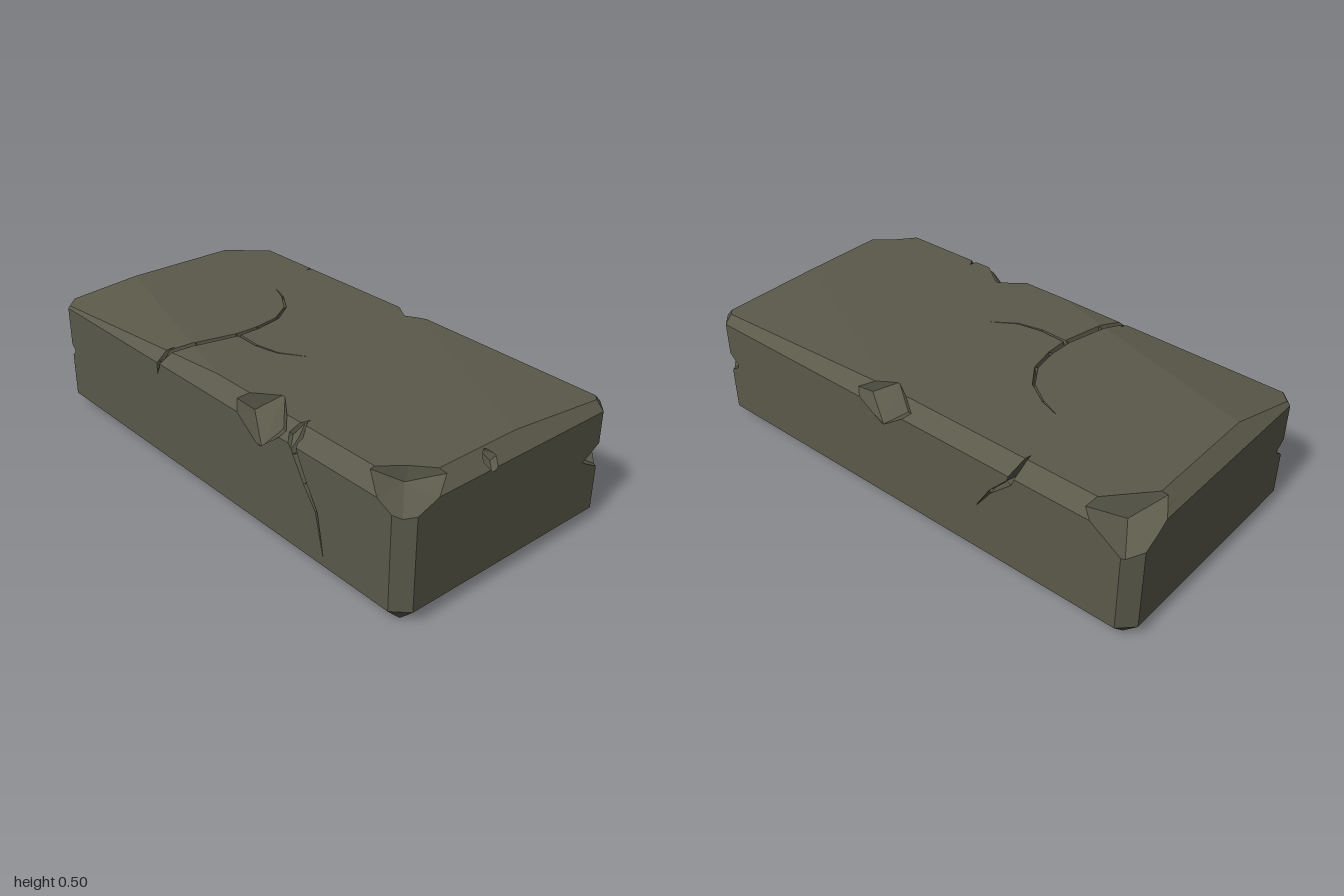
import * as THREE from 'three';

const V = (x, y, z) => new THREE.Vector3(x, y, z);
const SIGNS = [-1, 0, 1];
const EPS = 1e-5;

// Splits a convex polygon by a plane into its inner (behind) and outer (front) piece
function split(poly, plane) {
  const inner = [], outer = [];
  poly.forEach((a, i) => {
    const b = poly[(i + 1) % poly.length];
    const da = plane.distanceToPoint(a), db = plane.distanceToPoint(b);
    if (da <= EPS) inner.push(a);
    if (da >= -EPS) outer.push(a);
    if ((da > EPS && db < -EPS) || (da < -EPS && db > EPS)) {
      const m = a.clone().lerp(b, da / (da - db));
      inner.push(m);
      outer.push(m);
    }
  });
  return { inner, outer };
}

// Keeps the part of a polygon inside a convex solid
function clipInside(poly, planes) {
  for (const p of planes) {
    poly = split(poly, p).inner;
    if (poly.length < 3) return null;
  }
  return poly;
}

// Returns the pieces of a polygon outside a convex solid
function clipOutside(poly, planes) {
  const kept = [];
  let rest = poly;
  for (const p of planes) {
    if (!rest.some((v) => p.distanceToPoint(v) < -EPS)) return [poly];
    const { inner, outer } = split(rest, p);
    if (outer.length > 2 && outer.some((v) => p.distanceToPoint(v) > EPS)) kept.push(outer);
    rest = inner;
    if (rest.length < 3) return [poly];
  }
  return kept;
}

// Planes of the convex hull of a few points
function hullPlanes(pts) {
  const planes = [];
  for (let i = 0; i < pts.length; i++)
    for (let j = i + 1; j < pts.length; j++)
      for (let k = j + 1; k < pts.length; k++) {
        const n = pts[j].clone().sub(pts[i]).cross(pts[k].clone().sub(pts[i]));
        if (n.length() < 1e-8) continue;
        const plane = new THREE.Plane().setFromNormalAndCoplanarPoint(n.normalize(), pts[i]);
        const d = pts.map((p) => plane.distanceToPoint(p));
        if (Math.min(...d) > -EPS) plane.negate();
        else if (Math.max(...d) > EPS) continue;
        if (!planes.some((q) => q.normal.dot(plane.normal) > 0.99999 && Math.abs(q.constant - plane.constant) < 1e-4))
          planes.push(plane);
      }
  return planes;
}

// Face polygons of a convex solid
function faces(planes) {
  return planes.map((p) => {
    const u = Math.abs(p.normal.y) > 0.8 ? V(1, 0, 0) : V(0, 1, 0);
    u.cross(p.normal).normalize();
    const v = p.normal.clone().cross(u);
    const c = p.normal.clone().multiplyScalar(-p.constant);
    const quad = [0, 1, 2, 3].map((i) => {
      const angle = i * Math.PI / 2;
      return c.clone().addScaledVector(u, 5 * Math.cos(angle)).addScaledVector(v, 5 * Math.sin(angle));
    });
    return clipInside(quad, planes.filter((q) => q !== p));
  }).filter(Boolean);
}

// Calls back with each of the 26 face, edge and corner directions of a box
function eachDirection(visit) {
  for (const x of SIGNS) for (const y of SIGNS) for (const z of SIGNS) {
    const count = Math.abs(x) + Math.abs(y) + Math.abs(z);
    if (count) visit(V(x, y, z), count);
  }
}

// Slab with bevelled edges and corners, and two worn, sloping top corners
function slabPlanes() {
  const bevel = 0.055, planes = [];
  eachDirection((n, count) => {
    const reach = Math.abs(n.x) + Math.abs(n.y) * 0.25 + Math.abs(n.z) * 0.5 - bevel * (count - 1);
    const length = n.length();
    planes.push(new THREE.Plane(n.clone().divideScalar(length), -(reach + n.y * 0.25) / length));
  });
  const slope = (a, b, c) => {
    const p = new THREE.Plane().setFromCoplanarPoints(a, b, c);
    planes.push(p.normal.y < 0 ? p.negate() : p);
  };
  slope(V(-0.95, 0.452, 0.5), V(-0.2, 0.492, 0.44), V(-0.92, 0.5, 0.18));
  slope(V(0.95, 0.475, -0.5), V(0.2, 0.497, -0.45), V(0.83, 0.5, -0.1));
  return planes;
}

// Broken chip: an irregular faceted lump around a point on an edge or corner
function chip(centre, radii, seed) {
  let state = seed;
  const jitter = () => {
    state = (state * 16807) % 2147483647;
    return (state / 2147483647 - 0.5) * 0.2;
  };
  const pts = [];
  eachDirection((n, count) => {
    if (count === 2) return;
    n.multiplyScalar(count === 1 ? 1 : 0.48).add(V(jitter(), jitter(), jitter()));
    pts.push(n.multiply(radii).add(centre));
  });
  return hullPlanes(pts);
}

// V-shaped crack along a path, narrowing and getting shallower to its end
function crack(path, n, width) {
  const rings = path.map((p, i) => {
    const dir = path[Math.min(i + 1, path.length - 1)].clone().sub(path[Math.max(i - 1, 0)]);
    const w = width * (1 - i / (path.length - 1)) + 0.001;
    const side = n.clone().cross(dir).setLength(w);
    const rim = [p.clone().add(side), p.clone().sub(side)];
    return [...rim, ...rim.map((r) => r.clone().addScaledVector(n, 0.1)), p.clone().addScaledVector(n, -5.5 * w)];
  });
  return rings.slice(1).map((ring, i) => hullPlanes([...rings[i], ...ring]));
}
const topCrack = (path, width) => crack(path.map(([x, z]) => V(x, 0.5, z)), V(0, 1, 0), width);
const sideCrack = (path, side, width) => crack(path.map(([x, y]) => V(x, y, side * 0.5)), V(0, 0, side), width);

function toMesh(name, polys, material) {
  const points = polys.flatMap((p) => p.slice(2).flatMap((v, i) => [p[0], p[i + 1], v]));
  const geometry = new THREE.BufferGeometry().setFromPoints(points);
  geometry.computeVertexNormals();
  const mesh = new THREE.Mesh(geometry, material);
  mesh.name = name;
  return mesh;
}

export function createModel() {
  const stone = new THREE.MeshStandardMaterial({ color: 0x5a594a });
  stone.name = 'dark stone';
  const block = slabPlanes();
  const parts = { slabBody: faces(block), chippedFaces: [], crackGrooves: [] };
  const done = [];

  // Carve a convex solid out of the slab, lining it with inward faces
  const carve = (planes, part) => {
    for (const key in parts) parts[key] = parts[key].flatMap((p) => clipOutside(p, planes));
    let lining = faces(planes).map((p) => clipInside(p, block)).filter(Boolean);
    for (const old of done) lining = lining.flatMap((p) => clipOutside(p, old));
    parts[part].push(...lining.map((p) => [...p].reverse()));
    done.push(planes);
  };
  const carveChip = (centre, radii, seed) => carve(chip(centre, radii, seed), 'chippedFaces');
  const carveCrack = (pieces) => pieces.forEach((planes) => carve(planes, 'crackGrooves'));

  // Front edge chips
  carveChip(V(0.3, 0.5, 0.5), V(0.17, 0.14, 0.135), 11);
  carveChip(V(0.48, 0.5, 0.5), V(0.05, 0.08, 0.08), 222);
  // Broken top corners
  carveChip(V(1, 0.5, 0.5), V(0.23, 0.12, 0.26), 3333);
  carveChip(V(-1, 0.5, -0.5), V(0.26, 0.16, 0.25), 44444);
  // Back edge chip
  carveChip(V(0.08, 0.5, -0.5), V(0.17, 0.13, 0.1), 55555);
  // Notches in the upright edges
  carveChip(V(1, 0.27, -0.5), V(0.1, 0.08, 0.14), 66666);
  carveChip(V(-1, 0.26, 0.5), V(0.08, 0.07, 0.11), 77777);
  // Small nick on the right edge
  carveChip(V(0.985, 0.475, 0.11), V(0.05, 0.05, 0.035), 88888);

  // Curved top crack, its branch and its end on the front
  carveCrack(topCrack([[-0.285, 0.51], [-0.235, 0.36], [-0.2, 0.2], [-0.2, 0.1], [-0.22, -0.01],
    [-0.28, -0.1], [-0.37, -0.16], [-0.45, -0.19]], 0.013));
  carveCrack(topCrack([[-0.2, 0.195], [-0.08, 0.2], [0.02, 0.18], [0.11, 0.12]], 0.005));
  carveCrack(sideCrack([[-0.28, 0.51], [-0.285, 0.45], [-0.295, 0.4]], 1, 0.015));
  // Long front crack and back crack
  carveCrack(sideCrack([[0.47, 0.51], [0.5, 0.42], [0.55, 0.33], [0.605, 0.25], [0.64, 0.09]], 1, 0.016));
  carveCrack(sideCrack([[-0.53, 0.51], [-0.5, 0.42], [-0.42, 0.34], [-0.36, 0.25]], -1, 0.014));

  const group = new THREE.Group();
  group.name = 'stoneSlab';
  for (const key in parts) group.add(toMesh(key, parts[key], stone));
  return group;
}
